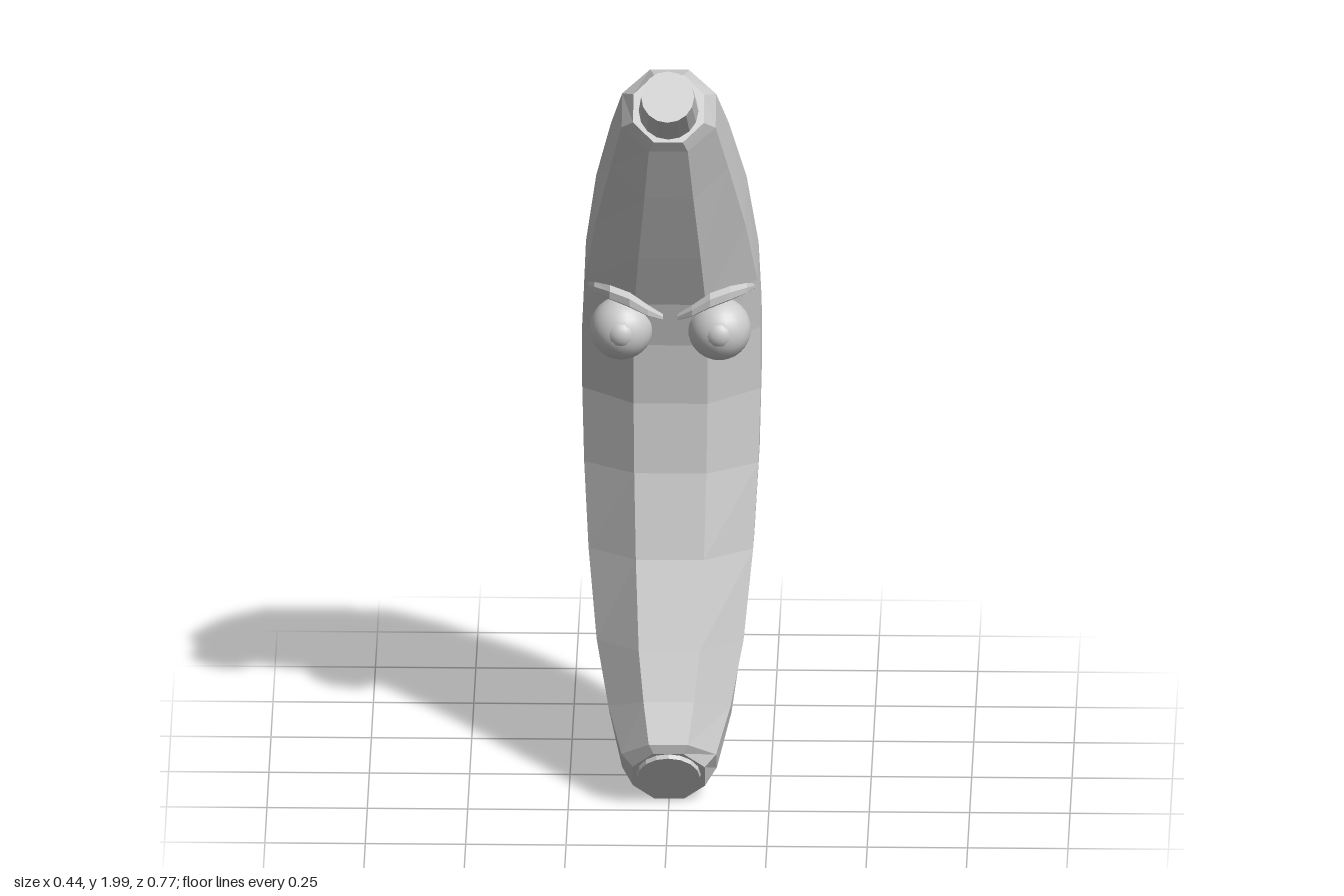
import * as THREE from 'three';

const V = (x, y, z) => new THREE.Vector3(x, y, z);
const flat = () => new THREE.MeshStandardMaterial({ color: 0xcccccc, flatShading: true });
const smooth = () => new THREE.MeshStandardMaterial({ color: 0xcccccc });

// Skin a row of equal-length rings and close both ends
function loft(rings) {
  const n = rings[0].length, pos = rings.flat().flatMap(p => [p.x, p.y, p.z]), idx = [];
  for (let i = 0; i < rings.length - 1; i++) {
    for (let j = 0; j < n; j++) {
      const a = i * n + j, b = i * n + (j + 1) % n;
      idx.push(a, b, b + n, a, b + n, a + n);
    }
  }
  const last = (rings.length - 1) * n;
  for (let j = 1; j < n - 1; j++) idx.push(0, j + 1, j, last, last + j, last + j + 1);
  const g = new THREE.BufferGeometry();
  g.setAttribute('position', new THREE.Float32BufferAttribute(pos, 3));
  g.setIndex(idx);
  const out = g.toNonIndexed();
  out.computeVertexNormals();
  return out;
}

// Cylinder running from a to b
function rod(name, a, b, ra, rb) {
  const d = b.clone().sub(a);
  const m = new THREE.Mesh(new THREE.CylinderGeometry(rb, ra, d.length(), 16), flat());
  m.position.copy(a).lerp(b, 0.5);
  m.quaternion.setFromUnitVectors(V(0, 1, 0), d.normalize());
  m.name = name;
  return m;
}

export function createModel() {
  const model = new THREE.Group();
  model.name = 'banana';
  const add = (name, geo, mat, parent = model) => {
    const m = new THREE.Mesh(geo, mat);
    m.name = name;
    parent.add(m);
    return m;
  };

  // Curved eight-sided body: front z, front y, back z, back y, half width
  const stations = [
    [0.262, 0.165, 0.165, 0.01, 0.09],
    [0.265, 0.19, 0.075, 0.035, 0.118],
    [0.215, 0.285, -0.075, 0.138, 0.152],
    [0.164, 0.40, -0.235, 0.36, 0.183],
    [0.074, 0.61, -0.325, 0.57, 0.205],
    [0.02, 0.82, -0.37, 0.78, 0.217],
    [0.005, 1.0, -0.386, 1.0, 0.222],
    [0.018, 1.16, -0.37, 1.19, 0.222],
    [0.05, 1.28, -0.333, 1.375, 0.215],
    [0.12, 1.43, -0.206, 1.62, 0.187],
    [0.205, 1.62, -0.02, 1.82, 0.147],
    [0.27, 1.77, 0.116, 1.93, 0.117],
    [0.286, 1.80, 0.18, 1.94, 0.088],
  ];
  const k = Math.cos(Math.PI / 8);
  const rings = stations.map(([fz, fy, bz, by, w]) => Array.from({ length: 8 }, (_, j) => {
    const a = (j + 0.5) * Math.PI / 4, c = Math.cos(a) / k, s = Math.sin(a) / k;
    return V(w * c, (fy + by) / 2 - s * (fy - by) / 2, (fz + bz) / 2 - s * (fz - bz) / 2);
  }));
  add('body', loft(rings), flat());

  // Stem at the top, blunt tip at the bottom
  model.add(rod('stem', V(0, 1.85, 0.215), V(0, 1.945, 0.351), 0.076, 0.066));
  model.add(rod('tip', V(0, 0.115, 0.19), V(0, 0.09, 0.229), 0.083, 0.078));

  // Brow path from the inner to the outer end: x, y, z, half height, half depth
  const brow = [
    [0.018, 1.245, 0.045, 0.008, 0.01],
    [0.055, 1.268, 0.06, 0.015, 0.02],
    [0.1, 1.297, 0.064, 0.02, 0.024],
    [0.15, 1.31, 0.045, 0.019, 0.024],
    [0.19, 1.302, -0.015, 0.013, 0.02],
    [0.213, 1.286, -0.078, 0.005, 0.006],
  ];

  for (const s of [1, -1]) {
    const side = s > 0 ? 'left' : 'right';

    // Eyeball with a raised pupil
    const eye = new THREE.Group();
    eye.name = side + 'Eye';
    eye.position.set(s * 0.122, 1.205, 0.016);
    model.add(eye);
    add(side + 'Eyeball', new THREE.SphereGeometry(0.079, 24, 16), smooth(), eye);
    add(side + 'Pupil', new THREE.SphereGeometry(0.042, 20, 12), smooth(), eye)
      .position.set(0, 0.004, 0.042);

    // Angry brow, always skinned towards +x
    const path = s > 0 ? brow : [...brow].reverse();
    const browRings = path.map(([x, y, z, h, d]) => Array.from({ length: 6 }, (_, j) => {
      const a = j * Math.PI / 3;
      return V(s * x, y + h * Math.cos(a), z + d * Math.sin(a));
    }));
    add(side + 'Brow', loft(browRings), flat());
  }
  return model;
}
